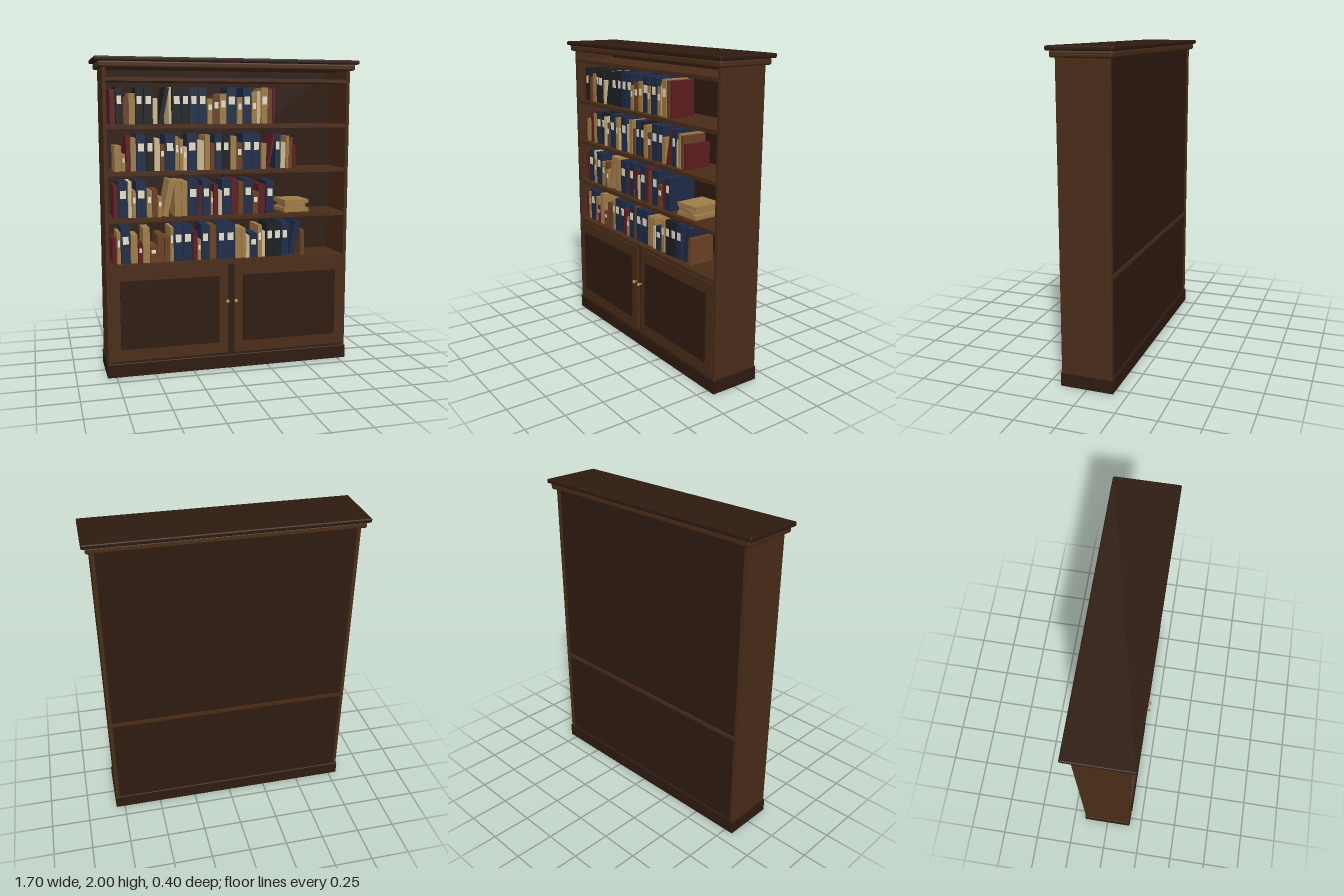
import * as THREE from 'three';
import { RoundedBoxGeometry } from 'three/addons/geometries/RoundedBoxGeometry.js';

const mat = (color) => new THREE.MeshStandardMaterial({ color });
const WOOD = mat(0x4a2c18), DARK = mat(0x2e1b11), BRASS = mat(0xb08d4a), LABEL = mat(0xe6dfca);
const BOOK = {
  R: mat(0x5e1c20), K: mat(0x1c1f22), N: mat(0x1e2c48),
  T: mat(0xa07c48), B: mat(0x6a4024), C: mat(0xcdb98c),
};
const U = 0.0053; // book sizing module

// Each book: colour letter, width / height in modules, * = spine label, ~ = leaning
const ROWS = [
  { y: 0.72, x: -0.757, books: 'R5/31 T4/38* N11/43* T8/34 R5/24* T8/42 B8/20* B8/33 B6/30 T4/42* N11/43* N11/43* R5/35 T4/25* ' +
    'N10/43* B8/42 N10/43* N12/43* T7/38 T5/37 C4/28 N10/30* T5/40* C4/32 K9/43* K10/43* N9/43* N7/43~ B5/32' },
  { y: 1.01, x: -0.744, books: 'R5/39 N11/43* C4/43 T4/32* N12/43* T6/32* B6/33 T4/24* T7/44~ T8/43 T7/42 N12/43* R4/36 ' +
    'N10/43* T3/28* R5/37 C4/30 N11/43* R8/43 B6/40 N11/43* B7/27* R8/36 N10/40*' },
  { y: 1.302, x: -0.733, books: 'T8/30 T4/20* R5/42 T6/39 N11/43* K9/43* C6/38 B5/31* N12/43* T4/40* T4/37* C4/28* N12/43* ' +
    'C8/35 T6/42 B5/32 N9/43* K9/43* T7/40 B7/32* N12/43* N10/43* T6/31 R3/43~ N7/43* C6/32 T3/40 B4/38 R4/29' },
  { y: 1.592, x: -0.755, books: 'R6/40 K8/43* B6/32 T7/36 K9/43* K10/43* C5/30 K5/43~ C3/43 K11/43* K9/43* N10/43* N10/43* ' +
    'T6/30* B8/34* T8/36* N12/43* T6/32* N11/43* T6/33* C4/39 T8/43* B5/42 R3/42' },
];

function add(parent, name, geometry, material, x, y, z) {
  const m = new THREE.Mesh(geometry, material);
  m.name = name;
  m.position.set(x, y, z);
  parent.add(m);
  return m;
}

// Box given by its minimum and maximum on each axis, optionally with eased edges
function slab(parent, name, material, x0, x1, y0, y1, z0, z1, r = 0) {
  const size = [x1 - x0, y1 - y0, z1 - z0];
  const g = r ? new RoundedBoxGeometry(...size, 2, r) : new THREE.BoxGeometry(...size);
  return add(parent, name, g, material, (x0 + x1) / 2, (y0 + y1) / 2, (z0 + z1) / 2);
}

function makeBook(material, w, h, depth, labelled) {
  const book = new THREE.Group();
  book.name = 'book';
  slab(book, 'bookBlock', material, -w, 0, 0, h, -depth, 0);
  if (labelled) slab(book, 'spineLabel', LABEL, -w * 0.82, -w * 0.18, h * 0.54, h * 0.76, -0.002, 0.002);
  return book;
}

function fillShelf(row, index) {
  const group = new THREE.Group();
  group.name = 'bookRow';
  let x = row.x;
  row.books.split(' ').forEach((code, i) => {
    const [w, h] = code.slice(1).split('/').map((n) => parseInt(n, 10) * U);
    const depth = 0.165 + ((i * 7 + index * 3) % 5) * 0.006;
    const book = makeBook(BOOK[code[0]], w, h, depth, code.endsWith('*'));
    const lean = code.endsWith('~') ? 0.2 : 0;
    // the pivot is the lower right corner, so a leaning book stays on the shelf
    x += w;
    book.position.set(x, row.y + 0.003, 0.125 - ((i * 5 + index) % 4) * 0.004);
    book.rotation.z = -lean;
    x += U * 0.7 + h * Math.sin(lean) * 0.85;
    group.add(book);
  });
  return group;
}

function makeDoor(side) {
  const door = new THREE.Group();
  door.name = side > 0 ? 'leftDoor' : 'rightDoor';
  const c = side * 0.4;
  slab(door, 'doorFrame', WOOD, c - 0.379, c + 0.379, 0.105, 0.695, 0.145, 0.166);
  slab(door, 'doorPanel', DARK, c - 0.32, c + 0.32, 0.18, 0.622, 0.15, 0.173);
  // turned knob on a short stem
  const profile = [[0, 0], [0.006, 0], [0.005, 0.012], [0.011, 0.017], [0.012, 0.023], [0.008, 0.029], [0, 0.031]];
  const knob = add(door, 'knob', new THREE.LatheGeometry(profile.map((p) => new THREE.Vector2(...p)), 16),
    BRASS, side * 0.028, 0.455, 0.166);
  knob.rotation.x = Math.PI / 2;
  return door;
}

export function createModel() {
  const model = new THREE.Group();
  model.name = 'bookcase';

  // Plinth and stepped cornice
  slab(model, 'plinth', DARK, -0.808, 0.808, 0, 0.09, -0.167, 0.167, 0.005);
  slab(model, 'corniceMoulding', WOOD, -0.828, 0.828, 1.935, 1.975, -0.186, 0.186, 0.012);
  slab(model, 'corniceTop', DARK, -0.85, 0.85, 1.973, 2, -0.2, 0.2, 0.008);

  // Carcass
  for (const s of [-1, 1]) {
    slab(model, 'sidePanel', WOOD, s * 0.79 - 0.011, s * 0.79 + 0.011, 0.09, 1.94, -0.16, 0.16);
  }
  slab(model, 'upperBack', DARK, -0.779, 0.779, 0.715, 1.94, -0.15, -0.135);
  slab(model, 'lowerBack', DARK, -0.779, 0.779, 0.09, 0.7, -0.15, -0.135);
  slab(model, 'topBoard', WOOD, -0.779, 0.779, 1.857, 1.879, -0.135, 0.15);

  // Shelves; the lowest is the cabinet top and runs through to the back
  ROWS.forEach((row, i) => {
    slab(model, i ? 'shelf' : 'cabinetTop', WOOD, -0.779, 0.779, row.y - 0.024, row.y, i ? -0.135 : -0.158, i ? 0.15 : 0.158);
    model.add(fillShelf(row, i));
  });

  // Flat stack of books on the second shelf
  const stack = new THREE.Group();
  stack.name = 'bookStack';
  [[0.17, 0.05], [0.14, -0.04], [0.17, 0.06]].forEach(([w, turn], i) => {
    const b = add(stack, 'stackedBook', new THREE.BoxGeometry(w, 0.026, 0.2), BOOK.T, 0.455, 1.027 + i * 0.028, 0.02);
    b.rotation.y = turn;
  });
  model.add(stack);

  model.add(makeDoor(-1), makeDoor(1));
  return model;
}
